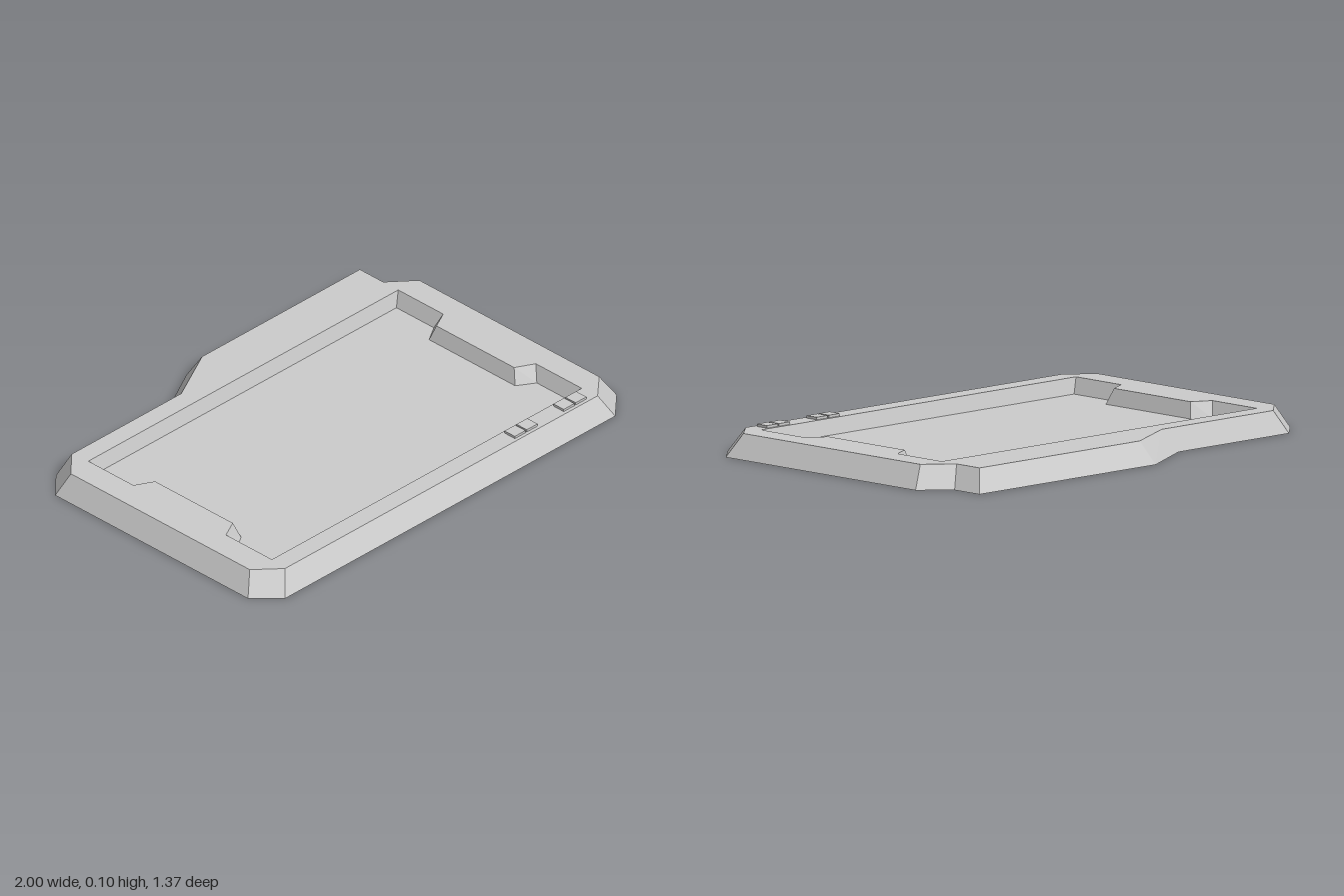
import * as THREE from 'three';

const TOP = 0.09, FLOOR = 0.028;

// Outlines as [x, z] points, counter-clockwise seen from above
const baseOutline = [
  [-0.9, 0.68], [0.89, 0.68], [1, 0.58], [1, -0.45], [0.89, -0.55], [0.89, -0.685],
  [-0.05, -0.685], [-0.31, -0.545], [-0.9, -0.545], [-1, -0.45], [-1, 0.58],
];
const rimOutline = [
  [-0.85, 0.63], [0.845, 0.63], [0.945, 0.54], [0.945, -0.42], [0.84, -0.51], [0.84, -0.635],
  [-0.015, -0.635], [-0.255, -0.51], [-0.85, -0.51], [-0.95, -0.415], [-0.95, 0.54],
];

// Mirrored recess outline: wide ends, with a narrower waist at the sides
function recessOutline(wide, waist, front, back, stepFront, stepBack, slant) {
  const right = [
    [wide, front], [wide, stepFront], [waist, stepFront - slant],
    [waist, stepBack + slant], [wide, stepBack], [wide, back],
  ];
  return [...right, ...right.map(([x, z]) => [-x, z]).reverse()];
}
const recessTop = recessOutline(0.84, 0.763, 0.55, -0.43, 0.305, -0.19, 0.04);
const recessBottom = recessOutline(0.815, 0.743, 0.535, -0.415, 0.335, -0.215, 0.045);

// Wall of quads between two outlines at different heights
function wall(lower, y0, upper, y1, inward = false) {
  const pos = [];
  lower.forEach((p, i) => {
    const j = (i + 1) % lower.length;
    const a = [p[0], y0, p[1]], b = [lower[j][0], y0, lower[j][1]];
    const c = [upper[j][0], y1, upper[j][1]], d = [upper[i][0], y1, upper[i][1]];
    const quad = inward ? [a, c, b, a, d, c] : [a, b, c, a, c, d];
    pos.push(...quad.flat());
  });
  const geo = new THREE.BufferGeometry();
  geo.setAttribute('position', new THREE.Float32BufferAttribute(pos, 3));
  geo.computeVertexNormals();
  return geo;
}

// Horizontal plate filling an outline, with an optional opening
function plate(outline, y, hole) {
  const toVec = ([x, z]) => new THREE.Vector2(x, -z);
  const shape = new THREE.Shape(outline.map(toVec));
  if (hole) shape.holes.push(new THREE.Path(hole.map(toVec)));
  return new THREE.ShapeGeometry(shape).rotateX(-Math.PI / 2).translate(0, y, 0);
}

export function createModel() {
  const model = new THREE.Group();
  const material = new THREE.MeshStandardMaterial({
    color: 0xcccccc, flatShading: true, side: THREE.DoubleSide,
  });
  const add = (name, geometry) => {
    const mesh = new THREE.Mesh(geometry, material);
    mesh.name = name;
    model.add(mesh);
    return mesh;
  };

  // Shell, open underneath
  add('outerBevel', wall(baseOutline, 0, rimOutline, TOP));
  add('rim', plate(rimOutline, TOP, recessTop));

  // Sunken tray
  add('recessWall', wall(recessBottom, FLOOR, recessTop, TOP, true));
  add('recessFloor', plate(recessBottom, FLOOR));

  // Two pairs of small raised buttons on the front rim
  for (const x of [0.44, 0.505, 0.705, 0.77]) {
    add('button', new THREE.BoxGeometry(0.058, 0.01, 0.055)).position.set(x, TOP + 0.005, 0.588);
  }
  return model;
}
